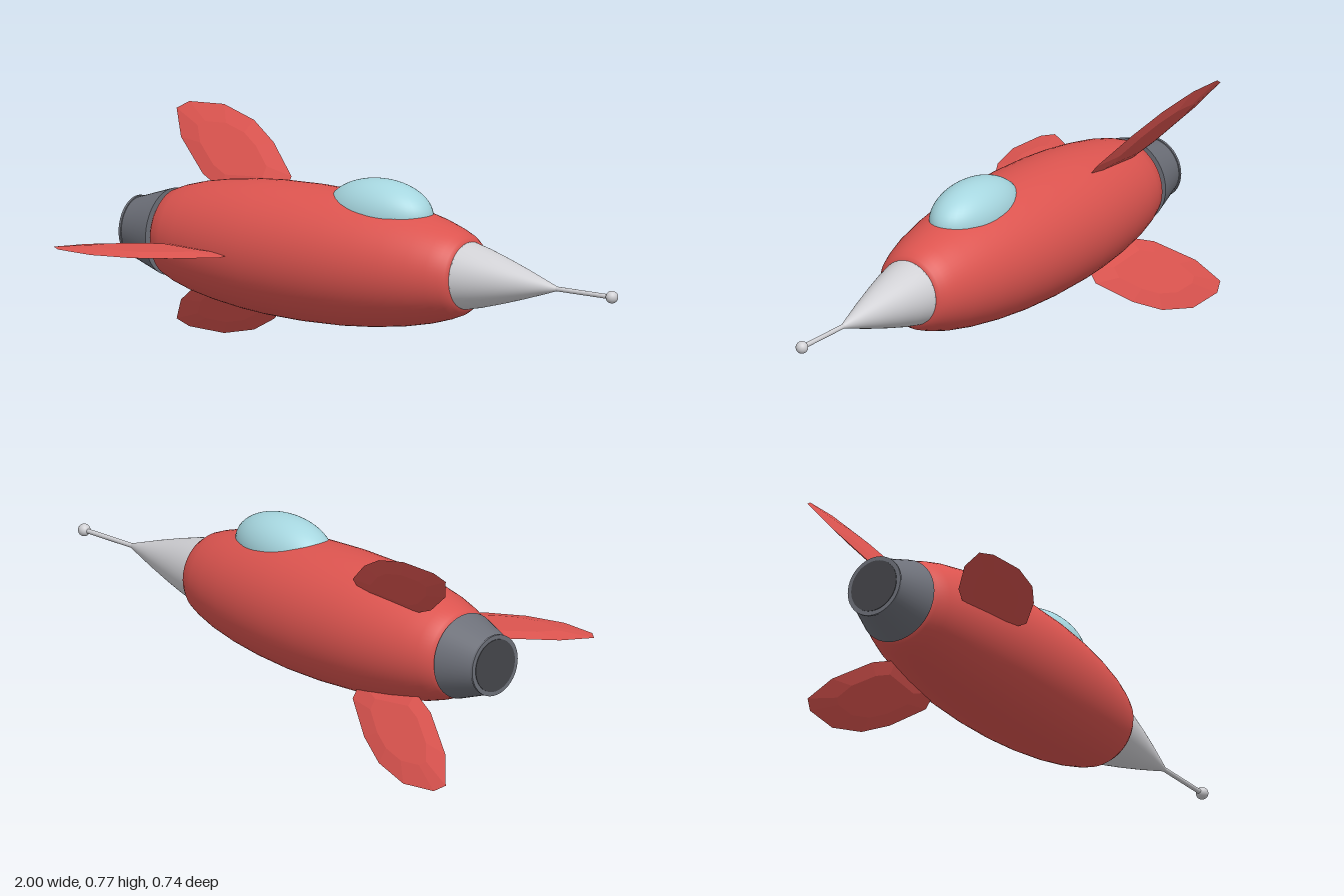
import * as THREE from 'three';
import { ConvexGeometry } from 'three/addons/geometries/ConvexGeometry.js';

export function createModel() {
  const model = new THREE.Group();
  model.name = 'rocketShip';

  const material = (name, color) => {
    const m = new THREE.MeshStandardMaterial({ color });
    m.name = name;
    return m;
  };
  const red = material('hullRed', 0xdc544f);
  const silver = material('noseSilver', 0xd0d0d4);
  const steel = material('engineSteel', 0x6d7079);
  const dark = material('darkTrim', 0x45464b);
  const glass = material('canopyBlue', 0xa6d6df);

  // Everything is arranged around the long axis of the hull
  const ship = new THREE.Group();
  ship.name = 'ship';
  ship.position.set(0, 0.393, -0.103);
  model.add(ship);

  const add = (name, geometry, mat, parent = ship) => {
    const mesh = new THREE.Mesh(geometry, mat);
    mesh.name = name;
    parent.add(mesh);
    return mesh;
  };

  // Solid of revolution along x, from [x, radius] pairs
  const turned = (profile, segments = 64) =>
    new THREE.LatheGeometry(profile.map(([x, r]) => new THREE.Vector2(r, x)), segments)
      .rotateZ(-Math.PI / 2);

  // Cylinder or cone along x, from x0 to x1
  const rod = (x0, r0, x1, r1, segments = 48) =>
    new THREE.CylinderGeometry(r1, r0, x1 - x0, segments)
      .rotateZ(-Math.PI / 2)
      .translate((x0 + x1) / 2, 0, 0);

  // Hull
  add('hull', turned([
    [-0.836, 0.1], [-0.83, 0.13], [-0.815, 0.148], [-0.77, 0.166], [-0.7, 0.186],
    [-0.6, 0.205], [-0.5, 0.218], [-0.4, 0.226], [-0.25, 0.23], [-0.1, 0.226],
    [0.03, 0.215], [0.15, 0.198], [0.25, 0.177], [0.32, 0.156], [0.36, 0.14],
    [0.38, 0.126], [0.388, 0.113], [0.392, 0.1],
  ]), red);

  // Nose cone with its base plate, and the probe
  add('noseCone', turned([
    [0.391, 0.113], [0.45, 0.1], [0.53, 0.078], [0.62, 0.051], [0.7, 0.025], [0.76, 0.005], [0.762, 0],
  ]), silver);
  add('noseBase', rod(0.389, 0.113, 0.392, 0.113), silver);
  add('probe', rod(0.74, 0.008, 0.975, 0.008, 16), silver);
  add('probeTip', new THREE.SphereGeometry(0.021, 24, 16).translate(0.979, 0, 0), silver);

  // Engine nozzle narrowing to the rear, with a thin lip and dark outlet
  add('nozzle', rod(-0.972, 0.1, -0.836, 0.146), steel);
  add('nozzleLip', rod(-0.977, 0.105, -0.969, 0.105), steel);
  add('nozzleOutlet', rod(-0.979, 0.09, -0.973, 0.09), dark);

  // Canopy: stretched half sphere on a dark seal
  const canopy = new THREE.Group();
  canopy.name = 'canopy';
  canopy.position.set(0.025, 0.17, 0);
  canopy.rotation.z = 0.015;
  ship.add(canopy);
  add('canopyGlass',
    new THREE.SphereGeometry(1, 40, 16, 0, Math.PI * 2, 0, Math.PI / 2).scale(0.203, 0.114, 0.114),
    glass, canopy);
  add('canopySeal',
    new THREE.CylinderGeometry(1, 1, 0.008, 48).scale(0.205, 1, 0.117).translate(0, -0.002, 0),
    dark, canopy);

  // Fins: leaf outline as [x, distance from axis], thickest in the middle
  const outline = [
    [-0.45, 0.19], [-0.45, 0.255], [-0.57, 0.365], [-0.68, 0.433], [-0.82, 0.473],
    [-0.96, 0.465], [-1, 0.435], [-0.94, 0.336], [-0.8, 0.218], [-0.7, 0.17],
  ];
  const centre = [-0.71, 0.3];
  const points = [];
  for (const [x, r] of outline) {
    points.push(new THREE.Vector3(x, 0, r));
    for (const side of [-1, 1]) {
      points.push(new THREE.Vector3(
        centre[0] + (x - centre[0]) * 0.6,
        side * 0.011,
        centre[1] + (r - centre[1]) * 0.6,
      ));
    }
  }
  const finGeometry = new ConvexGeometry(points);
  [['sideFin', 0], ['upperFin', -125], ['lowerFin', 125]].forEach(([name, degrees]) => {
    add(name, finGeometry, red).rotation.x = THREE.MathUtils.degToRad(degrees);
  });

  return model;
}
